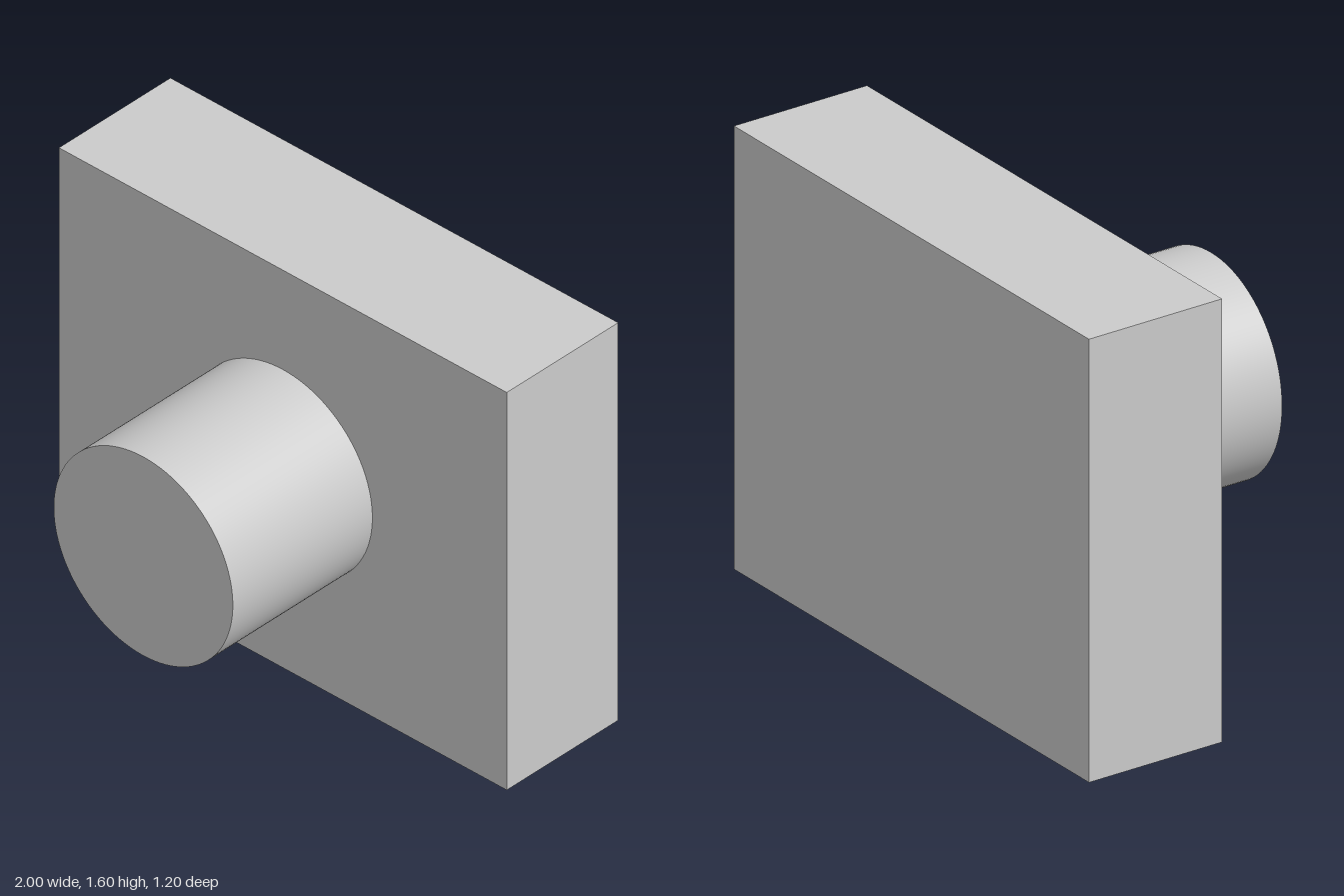
import * as THREE from 'three';

const BACK = -0.6, FACE = -0.067, FRONT = 0.6, HEIGHT = 1.6;

export function createModel() {
  const model = new THREE.Group();
  const material = new THREE.MeshStandardMaterial({ color: 0xcccccc });

  // Rectangular back plate
  const plate = new THREE.Mesh(new THREE.BoxGeometry(2, HEIGHT, FACE - BACK), material);
  plate.name = 'backPlate';
  plate.position.set(0, HEIGHT / 2, (FACE + BACK) / 2);

  // Round boss standing out from the middle of the plate
  const bossGeometry = new THREE.CylinderGeometry(0.4, 0.4, FRONT - FACE, 96);
  bossGeometry.rotateX(Math.PI / 2);
  const boss = new THREE.Mesh(bossGeometry, material);
  boss.name = 'boss';
  boss.position.set(0, HEIGHT / 2, (FRONT + FACE) / 2);

  model.add(plate, boss);
  return model;
}
